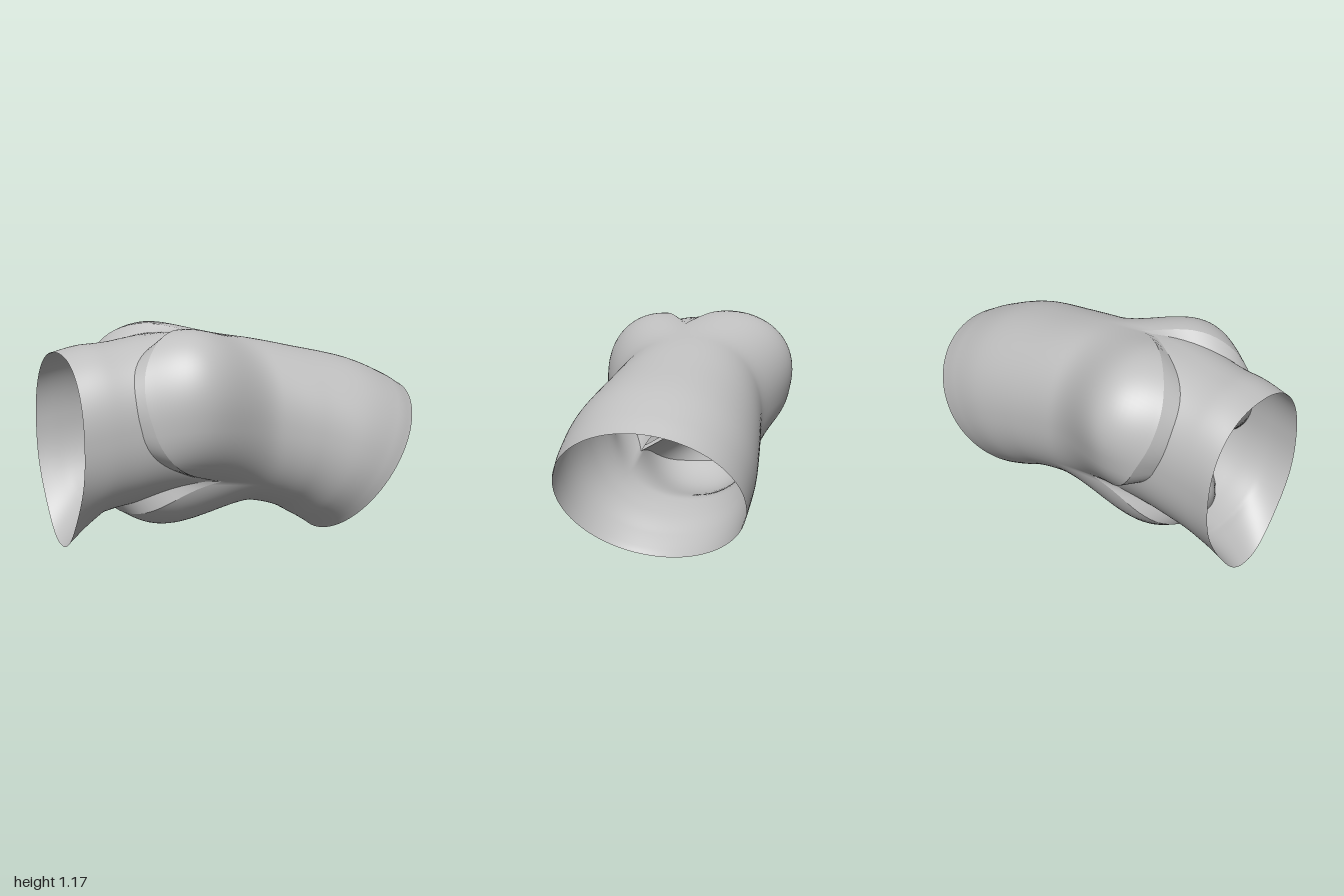
import * as THREE from 'three';

const tissue = new THREE.MeshStandardMaterial({ color: 0xbfbfbf, side: THREE.DoubleSide });
tissue.name = 'pale grey tissue';

// Upper and lower outline of the bent tube as [x, y], and its width as [zMin, zMax]
const upper = [[-1, 1.05], [-0.87, 1.08], [-0.72, 1.09], [-0.4, 1.13], [0, 1.09], [0.35, 1.02], [0.65, 0.95], [0.87, 0.86], [1, 0.79]];
const lower = [[-1, 0.21], [-0.88, 0.22], [-0.72, 0.25], [-0.45, 0.27], [0, 0.2], [0.2, 0.15], [0.33, 0.08], [0.41, 0.03], [0.45, 0]];
const width = [[-0.38, 0.36], [-0.375, 0.365], [-0.38, 0.37], [-0.4, 0.39], [-0.42, 0.4], [-0.44, 0.46], [-0.45, 0.52], [-0.44, 0.54], [-0.43, 0.545]];
const spline = (pts) => new THREE.CatmullRomCurve3(pts.map(([a, b]) => new THREE.Vector3(a, b, 0)), false, 'catmullrom');
const [upperCurve, lowerCurve, widthCurve] = [upper, lower, width].map(spline);
const LAST = upper.length - 1;

// Three sinuses between commissure angles: sideways and upright swelling, and station of the peak
const sectors = [
  { name: 'front', from: -42, to: 84, swell: 0.34, lift: 0.34, peak: 3.05 },
  { name: 'back', from: 84, to: 213, swell: 0.45, lift: 0.27, peak: 2.85 },
  { name: 'lower', from: 213, to: 318, swell: 0.36, lift: 0.36, peak: 3 },
];
const COLS = 40;

// Point on the wall at station t and fraction s across a sector
function wall(t, sector, s, bulging) {
  const a = THREE.MathUtils.degToRad(THREE.MathUtils.lerp(sector.from, sector.to, s));
  const k = THREE.MathUtils.clamp(t / LAST, 0, 1);
  const boxy = (v) => Math.sign(v) * Math.abs(v) ** (0.87 + 0.13 * k * k);
  const c = boxy(Math.cos(a)), n = boxy(Math.sin(a));
  const up = upperCurve.getPoint(k), low = lowerCurve.getPoint(k), w = widthCurve.getPoint(k);
  let bump = 0;
  if (bulging) {
    const d = t < sector.peak ? (sector.peak - t) / 1.35 : (t - sector.peak) / 1.15;
    if (d < 1) bump = Math.sin(Math.PI * s) * Math.cos(d * Math.PI / 2) ** 2;
  }
  const tall = n * (1 + sector.lift * bump), wide = c * (1 + sector.swell * bump);
  // Drooping lip at the bottom of the inlet, and a slight skew of the outlet
  const lip = 0.15 * Math.max(0, -Math.sin(a)) ** 6 * Math.max(0, 1 - t / 1.3);
  const skew = -0.05 * c * k ** 4;
  return new THREE.Vector3(
    (up.x + low.x) / 2 + (up.x - low.x) / 2 * tall + skew,
    (up.y + low.y) / 2 + (up.y - low.y) / 2 * tall - lip,
    (w.x + w.y) / 2 + (w.y - w.x) / 2 * wide,
  );
}

// Crown-shaped edges: low in the middle of a sinus, rising to the commissures
const aortaEdge = (s) => 2.12 + 1.33 * Math.abs(2 * s - 1) ** 2.1;
const inletEdge = (s) => 1.96 + 1.33 * Math.abs(2 * s - 1) ** 2.35;

// Smooth sheet from a rule f(row, column); closed sheets wrap their columns
function sheet(name, rows, cols, closed, f) {
  const pos = [], idx = [];
  const stride = closed ? cols : cols + 1;
  for (let i = 0; i <= rows; i++) {
    for (let j = 0; j < stride; j++) pos.push(...f(i / rows, j).toArray());
  }
  for (let i = 0; i < rows; i++) {
    for (let j = 0; j < cols; j++) {
      const a = i * stride + j, b = i * stride + (j + 1) % stride;
      idx.push(a, a + stride, b, b, a + stride, b + stride);
    }
  }
  const g = new THREE.BufferGeometry();
  g.setAttribute('position', new THREE.Float32BufferAttribute(pos, 3));
  g.setIndex(idx);
  g.computeVertexNormals();
  const mesh = new THREE.Mesh(g, tissue);
  mesh.name = name;
  return mesh;
}

// Leaflet face from its wall edge to its free edge, which reaches towards a hub
function leafletFace(name, edge, hub, reach) {
  const first = edge(0), last = edge(1);
  const freeEdge = (s) => first.clone().lerp(last, s).lerp(hub, reach * Math.sin(Math.PI * s));
  const mesh = sheet(name, 14, COLS, false, (v, j) => {
    const s = j / COLS;
    const p = edge(s).lerp(freeEdge(s), v);
    p.x -= 0.06 * Math.sin(Math.PI * v) * Math.sin(Math.PI * s);
    return p;
  });
  return { mesh, freeEdge };
}

export function createModel() {
  const model = new THREE.Group();
  model.name = 'valveRoot';
  const around = sectors.length * COLS;
  const locate = (j) => [sectors[Math.floor(j / COLS)], (j % COLS) / COLS];

  // Inlet tube with pointed tongues between the sinuses
  model.add(sheet('inletTube', 24, around, true, (v, j) => {
    const [sec, s] = locate(j);
    return wall(inletEdge(s) * v, sec, s, false);
  }));

  // Outlet vessel with three swollen sinuses
  model.add(sheet('outletVessel', 70, around, true, (v, j) => {
    const [sec, s] = locate(j);
    return wall(THREE.MathUtils.lerp(aortaEdge(s), LAST, v), sec, s, true);
  }));

  // Leaflets: two faces, the attached rim seen outside, and the free rim inside
  for (const sec of sectors) {
    const leaflet = new THREE.Group();
    leaflet.name = sec.name + 'Leaflet';
    const outer = (s) => wall(aortaEdge(s), sec, s, true);
    const inner = (s) => wall(inletEdge(s), sec, s, false);
    const top = leafletFace('outletFace', outer, new THREE.Vector3(-0.87, 0.64, 0), 0.5);
    const under = leafletFace('inletFace', inner, new THREE.Vector3(-0.82, 0.64, 0), 0.65);
    leaflet.add(top.mesh, under.mesh);
    leaflet.add(sheet('attachedRim', 1, COLS, false, (v, j) => inner(j / COLS).lerp(outer(j / COLS), v)));
    leaflet.add(sheet('freeRim', 1, COLS, false, (v, j) => top.freeEdge(j / COLS).lerp(under.freeEdge(j / COLS), v)));
    model.add(leaflet);
  }
  return model;
}
